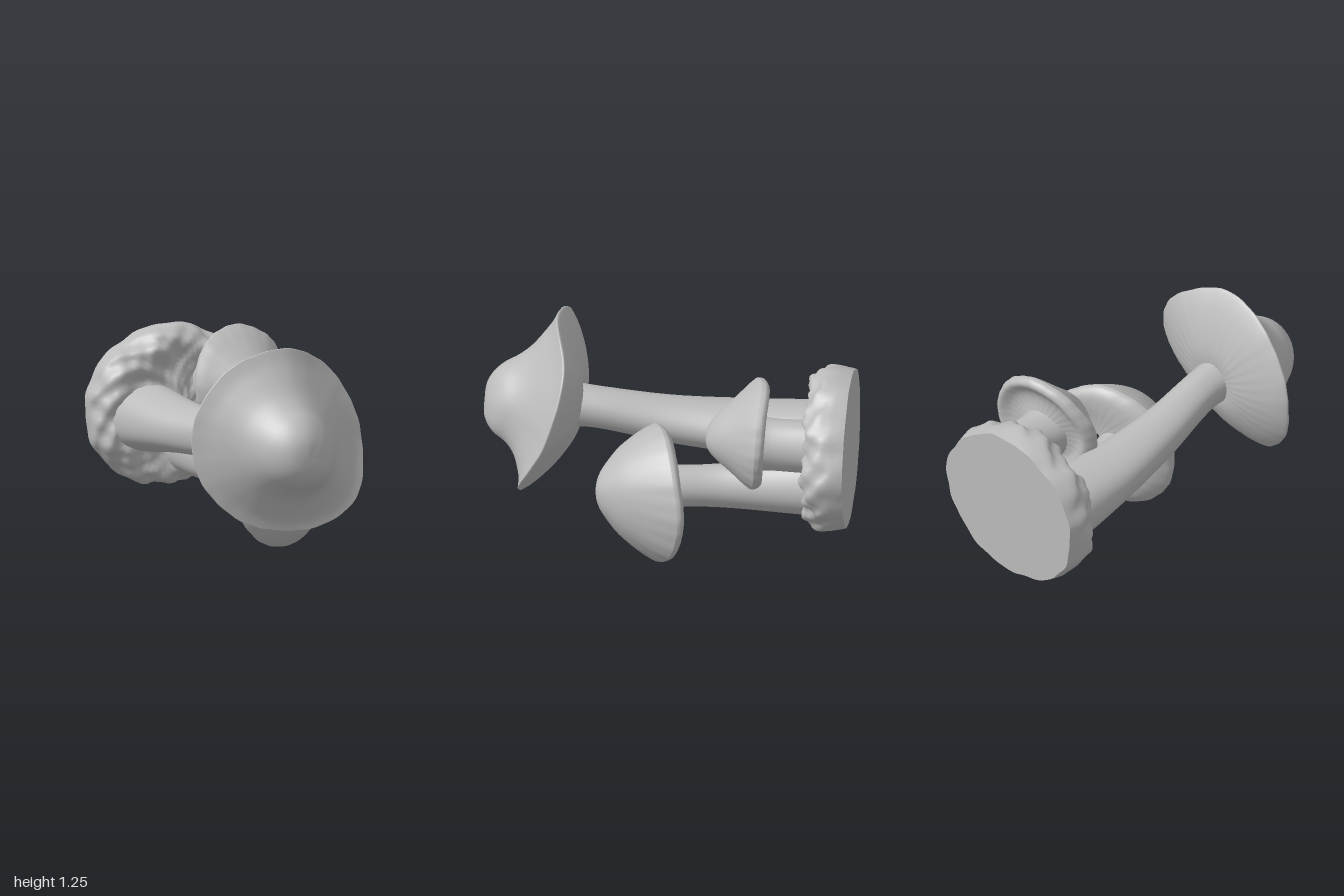
import * as THREE from 'three';

const flesh = new THREE.MeshStandardMaterial({ color: 0xbcbcbc });
flesh.name = 'plain grey';
const N = 96;

// Smooth surface through closed rings; point(row, angle) returns [x, y, z]
function loft(name, rows, point) {
  const pos = [], index = [];
  rows.forEach((row) => {
    for (let j = 0; j < N; j++) pos.push(...point(row, (j / N) * Math.PI * 2));
  });
  for (let i = 0; i < rows.length - 1; i++) {
    for (let j = 0; j < N; j++) {
      const a = i * N + j, b = i * N + ((j + 1) % N);
      index.push(a, a + N, b + N, a, b + N, b);
    }
  }
  const geo = new THREE.BufferGeometry();
  geo.setAttribute('position', new THREE.Float32BufferAttribute(pos, 3));
  geo.setIndex(index);
  geo.computeVertexNormals();
  const mesh = new THREE.Mesh(geo, flesh);
  mesh.name = name;
  return mesh;
}

// Smooth periodic lookup of values spaced evenly round the circle
function around(values, t) {
  const n = values.length, u = (t / (Math.PI * 2)) * n, i = Math.floor(u), f = u - i;
  const [a, b, c, d] = [-1, 0, 1, 2].map((k) => values[(i + k + n) % n]);
  return b + 0.5 * f * (c - a + f * (2 * a - 5 * b + 4 * c - d + f * (3 * (b - c) + d - a)));
}

// Refines a coarse [radius, height] profile with a spline
function refine(points, count) {
  const curve = new THREE.SplineCurve(points.map((p) => new THREE.Vector2(...p)));
  return curve.getPoints(count).map((p) => [Math.max(0, p.x), p.y]);
}

// Wavy cap: top runs from tip to rim, underside from rim to stem
function cap(name, o) {
  const top = refine(o.top, 36).map(([r, h]) => [r, h * (o.tip[2] - o.centre[2]), 0]);
  const under = refine(o.under, 24).map(([r, d]) => [r, -d, 1]);
  return loft(name, [...top, ...under], ([r, h, below], t) => {
    const wobble = 0.002 * Math.sin(9 * t + 1) + 0.0015 * Math.sin(23 * t);
    const R = (around(o.radii, t) + wobble * r ** 4) * r;
    const k = Math.min(1, r);
    const x = o.tip[0] + (o.centre[0] - o.tip[0]) * k + R * Math.cos(t);
    const y = o.tip[1] + (o.centre[1] - o.tip[1]) * k + R * Math.sin(t);
    const tilt = (around(o.rimZ, t) - o.centre[2]) * k ** 1.6;
    const gills = below * 0.0015 * Math.sin(32 * t) * Math.sin(Math.PI * k);
    return [x, y, o.centre[2] + tilt + h + gills];
  });
}

// Tapering stem through sections [x, y, z, half width, half height], front to back
function stem(name, sections) {
  const centre = new THREE.CatmullRomCurve3(sections.map((s) => new THREE.Vector3(s[0], s[1], s[2])));
  const size = new THREE.SplineCurve(sections.map((s) => new THREE.Vector2(s[3], s[4])));
  const rows = Array.from({ length: 25 }, (_, i) => i / 24);
  return loft(name, rows, (u, t) => {
    const c = centre.getPoint(u), s = size.getPoint(u);
    const k = 1 + 0.015 * Math.sin(5 * t + 2 * u);
    return [c.x + s.x * k * Math.cos(t), c.y + s.y * k * Math.sin(t), c.z];
  });
}

// Lumpy outline of the root clump, fuller at the lower left and the right
const outline = (t) => 1 + 0.05 * Math.max(0, Math.cos(t - 3.9)) ** 2 + 0.02 * Math.max(0, Math.cos(t)) ** 4
  + 0.012 * Math.sin(5 * t + 1) + 0.01 * Math.sin(11 * t) + 0.005 * Math.sin(19 * t + 2);

function rootClump() {
  const group = new THREE.Group();
  group.name = 'rootClump';
  const profile = refine([[0, -0.74], [0.3, -0.77], [0.55, -0.79], [0.8, -0.775], [0.92, -0.805],
    [0.99, -0.86], [1.005, -0.91], [0.99, -0.96], [0.97, -1]], 40);
  const place = (r, t, z) => [0.02 + 0.465 * r * outline(t) * Math.cos(t), 0.61 + 0.43 * r * outline(t) * Math.sin(t), z];
  group.add(loft('lumpyRim', profile, ([r, z], t) => {
    const fade = Math.min(1, (z + 1) / 0.12) * Math.min(1, r * 1.5);
    const lump = fade * (0.012 * Math.sin(7 * t + 9 * r) + 0.01 * Math.sin(13 * t - 16 * r + 30 * z)
      + 0.007 * Math.sin(22 * t + 25 * r));
    return place(r + lump, t, Math.max(-1, z + lump * 0.8));
  }));
  group.add(loft('flatBack', [0.97, 0], (r, t) => place(r, t, -1)));
  return group;
}

export function createModel() {
  const model = new THREE.Group();
  model.name = 'mushroomCluster';
  model.add(rootClump());

  // Large front mushroom
  model.add(cap('largeCap', {
    tip: [-0.105, 0.725, 0.998], centre: [-0.095, 0.755, 0.61],
    radii: [0.492, 0.482, 0.492, 0.488, 0.49, 0.488, 0.49, 0.515],
    rimZ: [0.62, 0.54, 0.61, 0.57, 0.55, 0.62, 0.72, 0.78],
    top: [[0, 1], [0.1, 0.99], [0.2, 0.955], [0.3, 0.87], [0.39, 0.74], [0.47, 0.56], [0.56, 0.41],
      [0.65, 0.3], [0.76, 0.19], [0.88, 0.08], [1, 0]],
    under: [[1, 0], [0.99, 0.015], [0.85, 0.06], [0.65, 0.105], [0.45, 0.135], [0.3, 0.145], [0.15, 0.14]],
  }));
  model.add(stem('largeStem', [[-0.09, 0.73, 0.6, 0.13, 0.13], [-0.09, 0.715, 0.4, 0.112, 0.115],
    [-0.13, 0.64, 0, 0.14, 0.125], [-0.155, 0.6, -0.4, 0.185, 0.14], [-0.16, 0.56, -0.88, 0.215, 0.19]]));

  // Low mushroom, tilted to its left
  model.add(cap('lowCap', {
    tip: [0.3, 0.42, 0.355], centre: [0.23, 0.39, 0.03],
    radii: [0.352, 0.365, 0.38, 0.36, 0.345, 0.37, 0.388, 0.37],
    rimZ: [-0.12, -0.08, 0, 0.09, 0.14, 0.13, 0.07, -0.06],
    top: [[0, 1], [0.15, 0.98], [0.3, 0.91], [0.45, 0.79], [0.6, 0.65], [0.72, 0.5], [0.84, 0.32], [0.94, 0.14], [1, 0]],
    under: [[1, 0], [0.97, 0.03], [0.85, 0.065], [0.65, 0.08], [0.4, 0.08], [0.15, 0.08]],
  }));
  model.add(stem('lowStem', [[0.19, 0.4, 0.08, 0.13, 0.13], [0.15, 0.39, -0.1, 0.11, 0.115],
    [0.1, 0.38, -0.35, 0.115, 0.125], [0.09, 0.4, -0.88, 0.15, 0.165]]));

  // Small rear mushroom
  model.add(cap('smallCap', {
    tip: [0.25, 0.755, -0.238], centre: [0.23, 0.79, -0.5],
    radii: [0.3, 0.303, 0.307, 0.3, 0.297, 0.3, 0.308, 0.3],
    rimZ: [-0.53, -0.54, -0.54, -0.48, -0.4, -0.41, -0.46, -0.51],
    top: [[0, 1], [0.15, 0.98], [0.3, 0.89], [0.45, 0.73], [0.6, 0.53], [0.75, 0.34], [0.9, 0.15], [1, 0]],
    under: [[1, 0], [0.98, 0.03], [0.88, 0.05], [0.7, 0.02], [0.5, 0.02], [0.2, 0.05]],
  }));
  model.add(stem('smallStem', [[0.23, 0.74, -0.45, 0.15, 0.16], [0.23, 0.73, -0.6, 0.13, 0.145],
    [0.235, 0.73, -0.88, 0.135, 0.15]]));
  return model;
}
